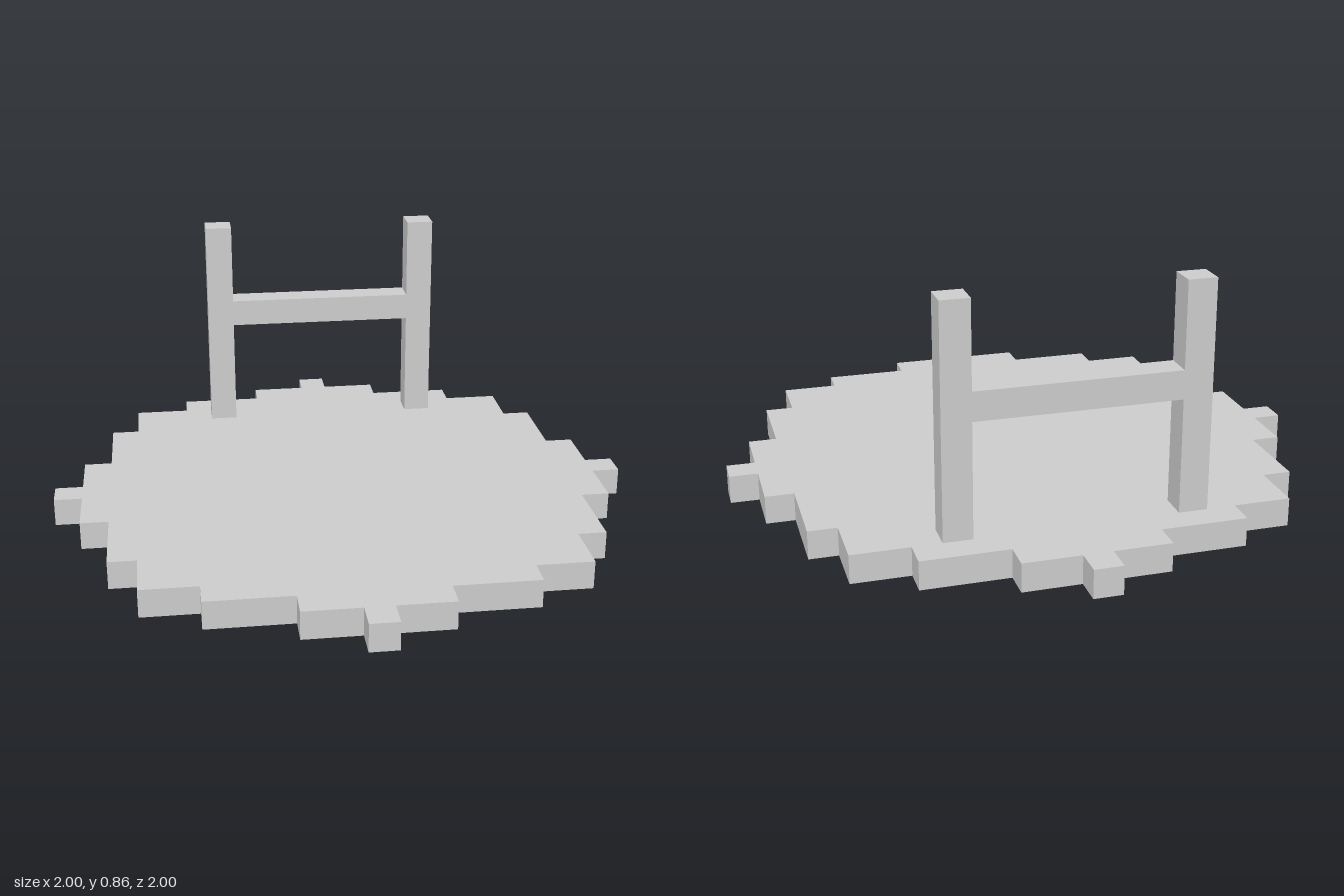
import * as THREE from 'three';

// Half a block; every dimension is a whole number of these
const U = 1 / 21;
const BLOCK = 2 * U;

export function createModel() {
  const model = new THREE.Group();
  const material = new THREE.MeshStandardMaterial({ color: 0xcccccc, flatShading: true });

  const add = (name, geometry) => {
    const mesh = new THREE.Mesh(geometry, material);
    mesh.name = name;
    model.add(mesh);
    return mesh;
  };

  // Stepped round base: one quadrant of the outline, turned four times
  const quadrant = [
    [21, 1], [19, 1], [19, 5], [17, 5], [17, 11], [15, 11], [15, 15],
    [11, 15], [11, 17], [5, 17], [5, 19], [1, 19], [1, 21],
  ];
  const outline = [];
  for (let turn = 0; turn < 4; turn++) {
    for (const [x, y] of quadrant) {
      const [a, b] = [[x, y], [-y, x], [-x, -y], [y, -x]][turn];
      outline.push(new THREE.Vector2(a * U, b * U));
    }
  }
  const base = new THREE.ExtrudeGeometry(new THREE.Shape(outline), { depth: BLOCK, bevelEnabled: false });
  base.rotateX(-Math.PI / 2);
  add('base', base);

  // Two posts near the back edge
  const frameZ = -14 * U;
  for (const [name, side] of [['leftPost', 1], ['rightPost', -1]]) {
    add(name, new THREE.BoxGeometry(BLOCK, 16 * U, BLOCK)).position.set(side * 8 * U, 10 * U, frameZ);
  }

  // Crossbar between the posts
  add('crossbar', new THREE.BoxGeometry(14 * U, BLOCK, BLOCK)).position.set(0, 11 * U, frameZ);

  return model;
}
